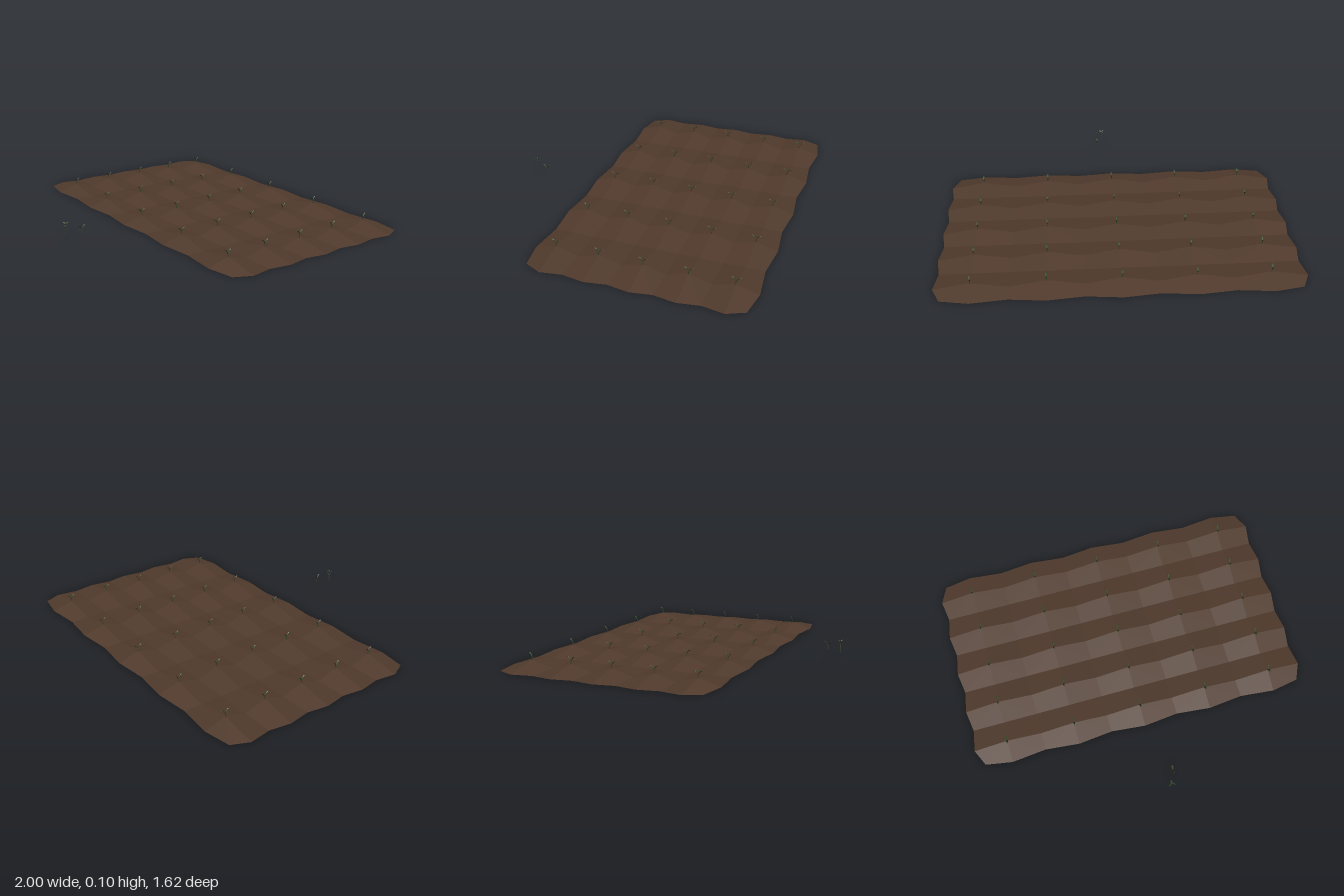
import * as THREE from 'three';

const soilMat = new THREE.MeshStandardMaterial({ color: 0x513b2d, side: THREE.DoubleSide });
const leafMat = new THREE.MeshStandardMaterial({ color: 0x2f4224, side: THREE.DoubleSide, flatShading: true });
const stemMat = new THREE.MeshStandardMaterial({ color: 0x35402a, flatShading: true });

const CELLS = 5, DX = 0.2, DZ = 0.1225, MID_Z = -0.2, PEAK = 0.036;

// Grid point: odd/odd points are mound peaks, the rim pulls in at furrows and corners
function soilPoint(i, j) {
  const n = CELLS * 2;
  let x = (i - CELLS) * DX, z = (j - CELLS) * DZ;
  const rimX = i === 0 || i === n, rimZ = j === 0 || j === n;
  if (rimX && rimZ) {
    x -= Math.sign(x) * 0.045;
    z -= Math.sign(z) * 0.027;
  } else if (rimX && j % 2 === 0) x -= Math.sign(x) * 0.02;
  else if (rimZ && i % 2 === 0) z -= Math.sign(z) * 0.02;
  return new THREE.Vector3(x, i % 2 && j % 2 ? PEAK : 0.001, z + MID_Z);
}

// Tilled field: one facet normal per quad, split from furrow corner to peak
function makeField() {
  const positions = [], normals = [];
  for (let i = 0; i < CELLS * 2; i++) {
    for (let j = 0; j < CELLS * 2; j++) {
      const a = soilPoint(i, j), b = soilPoint(i, j + 1);
      const c = soilPoint(i + 1, j + 1), d = soilPoint(i + 1, j);
      const normal = c.clone().sub(a).cross(d.clone().sub(b)).normalize();
      if (normal.y < 0) normal.negate();
      const corners = (i + j) % 2 === 0 ? [a, b, c, a, c, d] : [a, b, d, b, c, d];
      for (const p of corners) {
        positions.push(p.x, p.y, p.z);
        normals.push(normal.x, normal.y, normal.z);
      }
    }
  }
  const geo = new THREE.BufferGeometry();
  geo.setAttribute('position', new THREE.Float32BufferAttribute(positions, 3));
  geo.setAttribute('normal', new THREE.Float32BufferAttribute(normals, 3));
  const field = new THREE.Mesh(geo, soilMat);
  field.name = 'tilledSoil';
  return field;
}

// Arched leaf growing along +z, folded along its midrib
function makeLeafGeometry(length, rise, width) {
  const geo = new THREE.PlaneGeometry(1, 1, 2, 4);
  const pos = geo.attributes.position;
  for (let k = 0; k < pos.count; k++) {
    const side = pos.getX(k) * 2, t = pos.getY(k) + 0.5;
    const w = width * (0.12 + 0.88 * Math.sin(Math.PI * Math.min(1, 0.1 + t * 0.9)));
    const y = rise * Math.sin(t * Math.PI * 0.58) + Math.abs(side) * w * 0.35;
    pos.setXYZ(k, side * w / 2, y, length * t);
  }
  geo.computeVertexNormals();
  return geo;
}

function makeSprout(name, stemHeight, leafGeo, leafAngles) {
  const sprout = new THREE.Group();
  sprout.name = name;
  const stem = new THREE.Mesh(new THREE.CylinderGeometry(0.002, 0.003, stemHeight, 5), stemMat);
  stem.name = 'stem';
  stem.position.y = stemHeight / 2;
  sprout.add(stem);
  for (const angle of leafAngles) {
    const leaf = new THREE.Mesh(leafGeo, leafMat);
    leaf.name = 'leaf';
    leaf.position.y = stemHeight - 0.002;
    leaf.rotation.y = angle;
    sprout.add(leaf);
  }
  return sprout;
}

export function createModel() {
  const model = new THREE.Group();
  model.name = 'plantedField';
  model.add(makeField());

  // One seedling on top of every mound
  const seedlingLeaf = makeLeafGeometry(0.026, 0.024, 0.011);
  for (let i = 0; i < CELLS; i++) {
    for (let j = 0; j < CELLS; j++) {
      const seedling = makeSprout('seedling', 0.017, seedlingLeaf, [0, Math.PI]);
      seedling.position.set((i - 2) * DX * 2, PEAK - 0.002, (j - 2) * DZ * 2 + MID_Z);
      model.add(seedling);
    }
  }

  // Two loose plants in front of the field: a seedling and a taller one
  const loose = makeSprout('looseSeedling', 0.024, seedlingLeaf, [0, Math.PI]);
  loose.position.set(0.072, 0.035, 0.72);
  model.add(loose);

  const tall = makeSprout('tallSprout', 0.058, makeLeafGeometry(0.021, 0.012, 0.011),
    [Math.PI, Math.PI / 3, -Math.PI / 3]);
  const lowLeafGeo = makeLeafGeometry(0.012, 0.01, 0.006);
  for (const [y, angle] of [[0.036, 2], [0.044, -1.2]]) {
    const leaf = new THREE.Mesh(lowLeafGeo, leafMat);
    leaf.name = 'lowLeaf';
    leaf.position.y = y;
    leaf.rotation.y = angle;
    tall.add(leaf);
  }
  tall.position.set(0.04, 0.033, 0.8);
  model.add(tall);

  return model;
}
